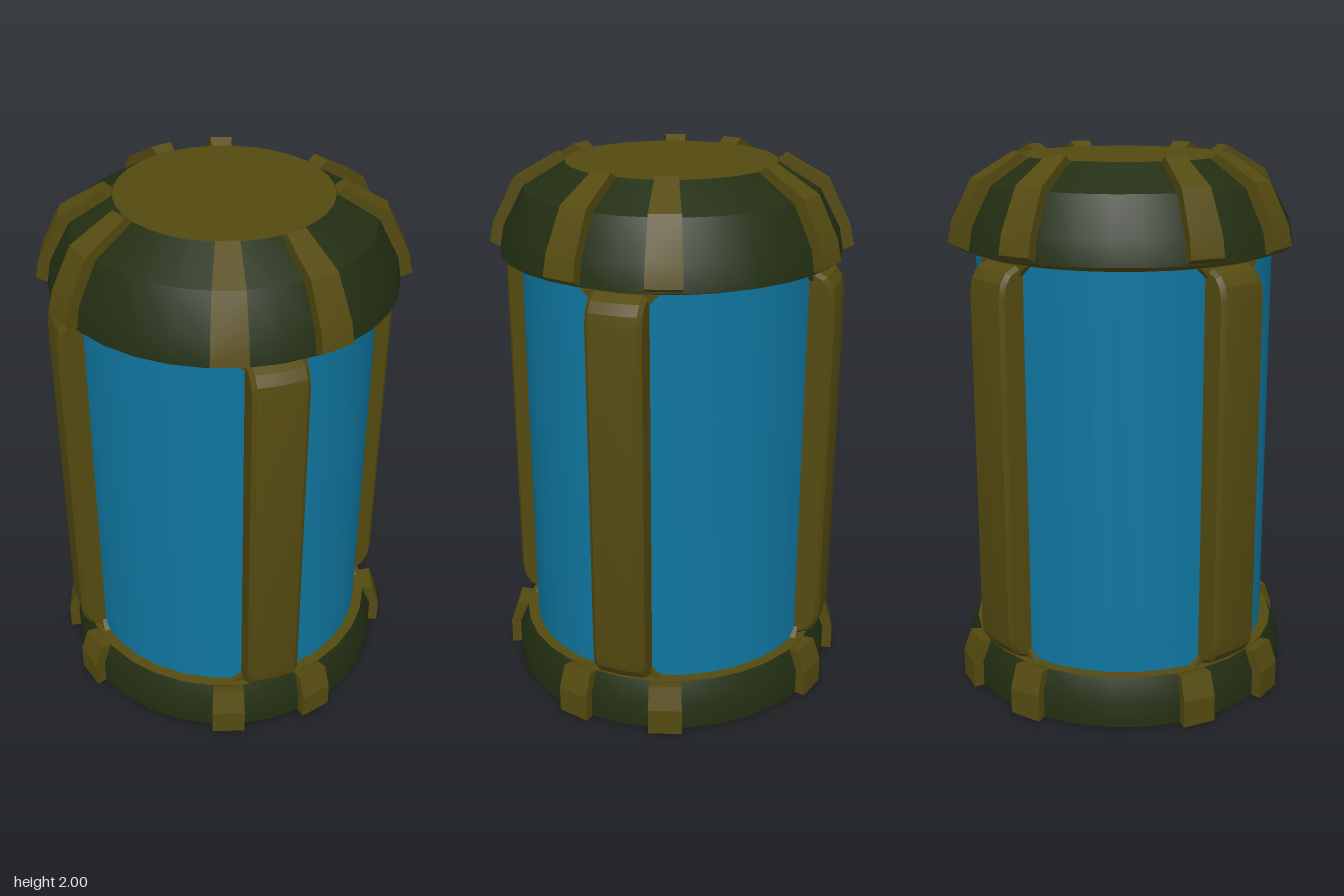
import * as THREE from 'three';
import { toCreasedNormals } from 'three/addons/utils/BufferGeometryUtils.js';

const SEGMENTS = 32;
const olive = new THREE.MeshStandardMaterial({ color: 0x544a10 });
const green = new THREE.MeshStandardMaterial({ color: 0x222e12 });
const blue = new THREE.MeshStandardMaterial({ color: 0x0f76a0 });

const toPoints = (list) => list.map(([r, y]) => new THREE.Vector2(r, y));

function add(parent, name, geometry, material, angle = 0) {
  const mesh = new THREE.Mesh(geometry, material);
  mesh.name = name;
  mesh.rotation.y = angle;
  parent.add(mesh);
  return mesh;
}

// Round part turned from a (radius, height) profile
function turned(parent, name, profile, material) {
  const g = new THREE.LatheGeometry(toPoints(profile), SEGMENTS);
  return add(parent, name, toCreasedNormals(g, 0.5), material);
}

// Slab with a (radius, height) side outline; bend(x, z) returns the new x and z
function slab(outline, options, bend) {
  const g = new THREE.ExtrudeGeometry(new THREE.Shape(toPoints(outline)), options);
  g.translate(0, 0, -options.depth / 2);
  const p = g.attributes.position;
  for (let i = 0; i < p.count; i++) {
    const [x, z] = bend(p.getX(i), p.getZ(i));
    p.setX(i, x);
    p.setZ(i, z);
  }
  return toCreasedNormals(g, 0.3);
}

// Rib whose width grows with its distance from the axis
const rib = (outline) =>
  slab(outline, { depth: 1, bevelEnabled: false }, (x, z) => [x, z * 0.19 * x]);

export function createModel() {
  const model = new THREE.Group();
  const base = new THREE.Group();
  const lid = new THREE.Group();
  const posts = new THREE.Group();
  base.name = 'base';
  lid.name = 'lid';
  posts.name = 'posts';
  model.add(base, lid, posts);

  // Glass body
  turned(model, 'body', [[0.545, 0.15], [0.545, 1.66]], blue);

  // Base
  turned(base, 'baseBottom', [[0, 0], [0.62, 0]], olive);
  turned(base, 'baseRim', [[0.62, 0], [0.62, 0.1], [0.585, 0.18]], green);
  turned(base, 'baseLip', [[0.585, 0.18], [0.53, 0.18]], olive);

  // Domed lid
  turned(lid, 'lidUnderside', [[0.53, 1.635], [0.62, 1.665]], olive);
  turned(lid, 'lidDome', [[0.62, 1.665], [0.605, 1.75], [0.53, 1.89], [0.38, 1.98]], green);
  turned(lid, 'lidTop', [[0.38, 1.98], [0, 1.98]], olive);

  // Ribs in pairs on both sides of each axis
  const lidRib = rib([
    [0.58, 1.68], [0.62, 1.672], [0.655, 1.69], [0.638, 1.765],
    [0.565, 1.91], [0.41, 2.0], [0.38, 1.98], [0.38, 1.95], [0.5, 1.87],
  ]);
  const baseRib = rib([[0.56, 0], [0.655, 0], [0.655, 0.1], [0.625, 0.185], [0.585, 0.18], [0.56, 0.17]]);

  // Posts with rounded ends, curved around the body
  const postShape = [
    [0.51, 0.18], [0.56, 0.18], [0.6, 0.2], [0.623, 0.235], [0.632, 0.28],
    [0.632, 1.54], [0.623, 1.585], [0.6, 1.62], [0.56, 1.64], [0.51, 1.64],
  ];
  const post = slab(postShape, {
    depth: 0.17, steps: 4, bevelEnabled: true, bevelSegments: 1,
    bevelThickness: 0.015, bevelSize: 0.012, bevelOffset: -0.012,
  }, (x, z) => [x - 0.8 * z * z, z]);

  // Small corner gussets where the posts meet base and lid
  const gusset = new THREE.ExtrudeGeometry(
    new THREE.Shape(toPoints([[-0.135, 0], [0.135, 0], [0.1, 0.035], [-0.1, 0.035]])),
    { depth: 0.035, bevelEnabled: false });
  gusset.translate(0, 0, 0.515);

  for (let i = 0; i < 4; i++) {
    const axis = i * Math.PI / 2;
    add(posts, 'post', post, olive, axis);
    add(posts, 'lowerGusset', gusset, olive, axis).position.y = 0.178;
    const upper = add(posts, 'upperGusset', gusset, olive, axis);
    upper.rotation.set(0, axis, Math.PI);
    upper.position.y = 1.642;
    for (const side of [-1, 1]) {
      const angle = axis + side * THREE.MathUtils.degToRad(16);
      add(lid, 'lidRib', lidRib, olive, angle);
      add(base, 'baseRib', baseRib, olive, angle);
    }
  }
  return model;
}
